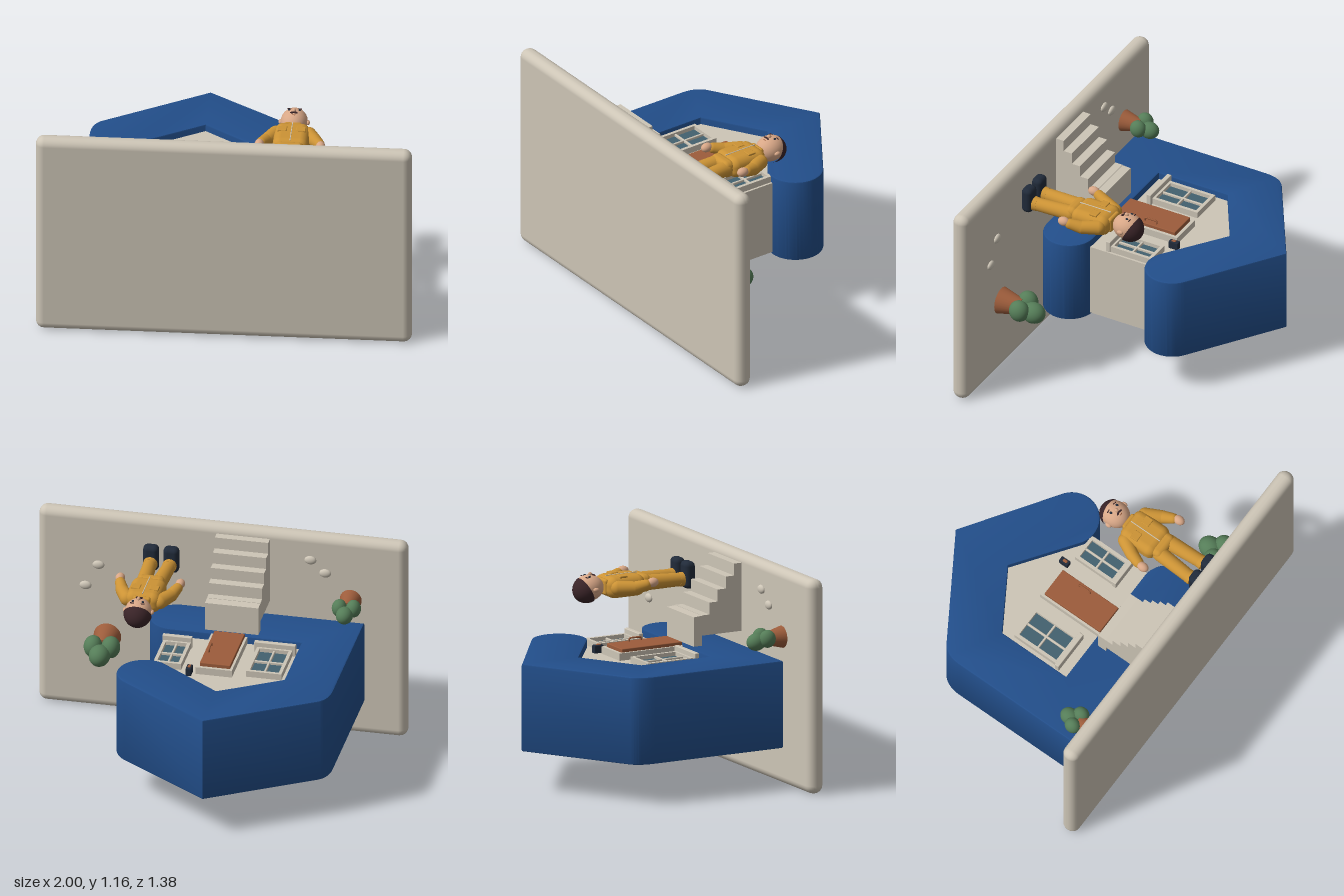
import * as THREE from 'three';
import { toCreasedNormals } from 'three/addons/utils/BufferGeometryUtils.js';
import { RoundedBoxGeometry } from 'three/addons/geometries/RoundedBoxGeometry.js';

const mat = (name, color) => {
  const m = new THREE.MeshStandardMaterial({ color });
  m.name = name;
  return m;
};
const cream = mat('cream', 0xcdc5b6), blue = mat('blue', 0x224e8a), brown = mat('brown', 0x9c5c3b),
  glass = mat('glass', 0x43616f), mustard = mat('mustard', 0xcc9335), skin = mat('skin', 0xd8a787),
  hair = mat('hair', 0x3a2428), navy = mat('navy', 0x212b3a), green = mat('green', 0x557d58);

function add(parent, name, geo, material, x = 0, y = 0, z = 0) {
  const m = new THREE.Mesh(geo, material);
  m.name = name;
  m.position.set(x, y, z);
  parent.add(m);
  return m;
}
// Softly rounded block
function block(parent, name, material, w, h, d, x, y, z, r = 0.004) {
  return add(parent, name, new RoundedBoxGeometry(w, h, d, 3, r), material, x, y, z);
}
// Ellipsoid
function ball(parent, name, material, rx, ry, rz, x, y, z) {
  const m = add(parent, name, new THREE.SphereGeometry(1, 28, 20), material, x, y, z);
  m.scale.set(rx, ry, rz);
  return m;
}
// Tapered limb with rounded ends
function limb(parent, name, material, a, b, ra, rb) {
  const A = new THREE.Vector3(...a), B = new THREE.Vector3(...b);
  const L = A.distanceTo(B), pts = [];
  for (let i = 0; i <= 6; i++) {
    const t = -Math.PI / 2 + (i / 6) * Math.PI / 2;
    pts.push(new THREE.Vector2(Math.max(0, ra * Math.cos(t)), ra * Math.sin(t)));
  }
  for (let i = 0; i <= 6; i++) {
    const t = (i / 6) * Math.PI / 2;
    pts.push(new THREE.Vector2(Math.max(0, rb * Math.cos(t)), L + rb * Math.sin(t)));
  }
  const m = add(parent, name, new THREE.LatheGeometry(pts, 24), material, ...a);
  m.quaternion.setFromUnitVectors(new THREE.Vector3(0, 1, 0), B.sub(A).normalize());
  return m;
}
function polygon(points) {
  return new THREE.Shape(points.map(p => new THREE.Vector2(...p)));
}

function buildHouse(root) {
  const house = new THREE.Group();
  house.name = 'house';
  root.add(house);

  // Thick band forming floor, side and roof with round ends
  const s = new THREE.Shape();
  s.moveTo(-0.78, -0.555);
  s.lineTo(0.205, -0.555);
  s.absarc(0.205, -0.4125, 0.1425, -Math.PI / 2, Math.PI / 2, false);
  s.lineTo(-0.5, -0.27);
  s.lineTo(-0.5, 0.148);
  s.lineTo(-0.174, 0.348);
  s.absarc(0.24, 0.232, 0.148, -2.136, 0.96, false);
  s.lineTo(-0.174, 0.692);
  s.lineTo(-0.73, 0.348);
  s.quadraticCurveTo(-0.78, 0.31, -0.78, 0.22);
  s.closePath();
  const band = new THREE.ExtrudeGeometry(s, {
    depth: 0.459, curveSegments: 28, bevelThickness: 0.008, bevelSize: 0.008, bevelOffset: -0.008, bevelSegments: 2
  });
  add(house, 'houseBand', toCreasedNormals(band, 0.5), blue, 0, 0, 0.228);

  // Gabled wall block
  const wall = polygon([[-0.505, -0.275], [0.235, -0.275], [0.235, 0.095], [-0.174, 0.352], [-0.505, 0.15]]);
  add(house, 'wall', new THREE.ExtrudeGeometry(wall, { depth: 0.42, bevelEnabled: false }), cream, 0, 0, 0.235);

  // Windows: ring frame, glass, bars and sill
  function windowUnit(name, x, w, top, bottom, sillW) {
    const g = new THREE.Group();
    g.name = name;
    house.add(g);
    const h = top - bottom, y = (top + bottom) / 2, f = 0.018;
    const rect = (a, b) => [[-a, -b], [a, -b], [a, b], [-a, b]];
    const ring = polygon(rect(w / 2, h / 2));
    ring.holes.push(polygon(rect(w / 2 - f, h / 2 - f)));
    add(g, 'windowFrame', new THREE.ExtrudeGeometry(ring, { depth: 0.04, bevelEnabled: false }), cream, x, y, 0.65);
    add(g, 'windowGlass', new THREE.BoxGeometry(w - f, h - f, 0.009), glass, x, y, 0.664);
    block(g, 'windowBarUpright', cream, 0.012, h - f, 0.02, x, y, 0.672);
    block(g, 'windowBarCross', cream, w - f, 0.012, 0.02, x, y, 0.672);
    block(g, 'windowSill', cream, sillW, 0.026, 0.065, x, bottom - 0.008, 0.685);
  }
  windowUnit('leftHandWindow', -0.375, 0.192, 0.09, -0.19, 0.225);
  windowUnit('rightHandWindow', 0.148, 0.15, 0.09, -0.16, 0.16);

  // Door with surround and pull handle
  const frame = polygon([[-0.208, -0.27], [-0.194, -0.27], [-0.194, 0.098], [-0.03, 0.098],
    [-0.03, -0.27], [-0.012, -0.27], [-0.012, 0.116], [-0.208, 0.116]]);
  add(house, 'doorFrame', new THREE.ExtrudeGeometry(frame, { depth: 0.045, bevelEnabled: false }), cream, 0, 0, 0.65);
  block(house, 'door', brown, 0.166, 0.365, 0.064, -0.112, -0.088, 0.682);
  const pull = new THREE.CatmullRomCurve3([[-0.035, 0.71], [-0.035, 0.728], [0, 0.732], [0.035, 0.728], [0.035, 0.71]]
    .map(([y, z]) => new THREE.Vector3(-0.052, y - 0.065, z)));
  add(house, 'doorHandle', new THREE.TubeGeometry(pull, 16, 0.005, 8), brown);

  // Wall lamp
  block(house, 'lampBody', navy, 0.03, 0.055, 0.045, 0.022, 0.12, 0.675);
  block(house, 'lampBulb', brown, 0.016, 0.026, 0.012, 0.022, 0.117, 0.696);
}

function buildStairs(root) {
  const steps = [[-0.355, 0.86], [-0.4, 0.925], [-0.45, 0.99], [-0.5, 1.055], [-0.55, 1.12]];
  const pts = [[0.69, -0.355], [0.69, -0.305], [0.855, -0.305], [0.855, -0.355]];
  steps.forEach(([y, z], i) => {
    pts.push([z, y].reverse());
    pts.push([z === -0.55 ? 1.12 : steps[i][0], i < 4 ? steps[i + 1][1] && steps[i + 1][0] : -0.598]);
  });
  // Side profile: depth and height pairs, swept across the width
  const profile = [[0.75, -0.598], [0.75, -0.355], ...pts.slice(0, 3)];
  let z = 0.858;
  for (const [y, front] of steps) {
    profile.push([z, y], [front, y]);
    z = front;
  }
  profile.push([1.12, -0.598]);
  const shape = polygon(profile);
  const geo = new THREE.ExtrudeGeometry(shape, { depth: 0.29, bevelEnabled: false });
  add(root, 'stairs', geo, cream, 0.03, 0, 0).rotation.y = -Math.PI / 2;
}

function buildShrub(root, name, x, z, k) {
  const g = new THREE.Group();
  g.name = name;
  g.position.set(x, -0.6, z);
  g.scale.setScalar(k);
  root.add(g);
  add(g, 'shrubTrunk', new THREE.CylinderGeometry(0.042, 0.076, 0.13, 28), brown, 0, 0.065, 0);
  ball(g, 'foliageRight', green, 0.05, 0.056, 0.06, 0.048, 0.142, 0.005);
  ball(g, 'foliageLeft', green, 0.05, 0.056, 0.06, -0.048, 0.142, 0.01);
  ball(g, 'foliageTop', green, 0.057, 0.066, 0.058, 0, 0.202, -0.015);
}

function buildPerson(root) {
  const p = new THREE.Group();
  p.name = 'person';
  p.position.set(0.323, -0.595, 0.935);
  root.add(p);

  // Jacket
  block(p, 'jacket', mustard, 0.19, 0.225, 0.115, 0, 0.408, -0.003, 0.045);
  block(p, 'hips', mustard, 0.15, 0.07, 0.095, 0, 0.29, 0, 0.03);
  block(p, 'zip', cream, 0.005, 0.19, 0.006, 0, 0.405, 0.054, 0.002);
  block(p, 'collar', mustard, 0.095, 0.026, 0.085, 0, 0.515, 0, 0.012);
  add(p, 'neck', new THREE.CylinderGeometry(0.028, 0.03, 0.04, 20), skin, 0, 0.535, 0);

  for (const side of [-1, 1]) {
    // Legs, cuffs and boots
    limb(p, 'leg', mustard, [side * 0.052, 0.085, -0.003], [side * 0.04, 0.28, 0], 0.036, 0.042);
    add(p, 'trouserCuff', new THREE.CylinderGeometry(0.037, 0.039, 0.025, 24), mustard, side * 0.052, 0.075, -0.003);
    block(p, 'boot', navy, 0.084, 0.062, 0.148, side * 0.055, 0.032, 0.02, 0.026);
    // Arms and hands
    limb(p, 'upperArm', mustard, [side * 0.088, 0.472, 0], [side * 0.132, 0.395, 0.002], 0.04, 0.035);
    limb(p, 'forearm', mustard, [side * 0.132, 0.395, 0.002], [side * 0.155, 0.338, 0.018], 0.035, 0.028);
    ball(p, 'hand', skin, 0.025, 0.033, 0.025, side * 0.163, 0.304, 0.028);
    // Jacket pockets
    block(p, 'pocket', mustard, 0.05, 0.045, 0.012, side * 0.05, 0.43, 0.053);
    // Face
    ball(p, 'ear', skin, 0.012, 0.018, 0.012, side * 0.072, 0.596, 0);
    ball(p, 'eye', navy, 0.007, 0.008, 0.005, side * 0.027, 0.612, 0.064);
    const brow = block(p, 'eyebrow', hair, 0.022, 0.005, 0.006, side * 0.028, 0.629, 0.062, 0.002);
    brow.rotation.z = -side * 0.15;
    const tache = ball(p, 'moustache', hair, 0.012, 0.005, 0.005, side * 0.009, 0.578, 0.069);
    tache.rotation.z = -side * 0.25;
  }

  // Head and swept-back hair
  ball(p, 'head', skin, 0.072, 0.083, 0.07, 0, 0.603, 0);
  ball(p, 'nose', skin, 0.01, 0.012, 0.013, 0, 0.595, 0.071);
  block(p, 'mouth', brown, 0.018, 0.004, 0.005, 0, 0.565, 0.062, 0.002);
  const cap = add(p, 'hair', new THREE.SphereGeometry(1, 32, 16, 0, Math.PI * 2, 0, 1.4), hair, 0, 0.608, -0.003);
  cap.scale.set(0.077, 0.086, 0.075);
  cap.rotation.x = -0.48;
}

export function createModel() {
  const model = new THREE.Group();
  model.name = 'houseScene';
  // The upright scene is laid on its back
  const root = new THREE.Group();
  root.name = 'scene';
  root.rotation.x = -Math.PI / 2;
  model.add(root);

  block(root, 'base', cream, 2, 0.095, 1.165, 0, -0.6425, 0.5825, 0.045);
  buildHouse(root);
  buildStairs(root);
  buildShrub(root, 'rightShrub', 0.622, 0.435, 1);
  buildShrub(root, 'leftShrub', -0.698, 0.805, 0.8);
  buildPerson(root);

  // Stepping pebbles
  for (const [x, z] of [[-0.56, 0.95], [-0.48, 1.02], [0.67, 0.86], [0.74, 0.73]]) {
    ball(root, 'pebble', cream, 0.032, 0.016, 0.024, x, -0.592, z);
  }
  return model;
}
